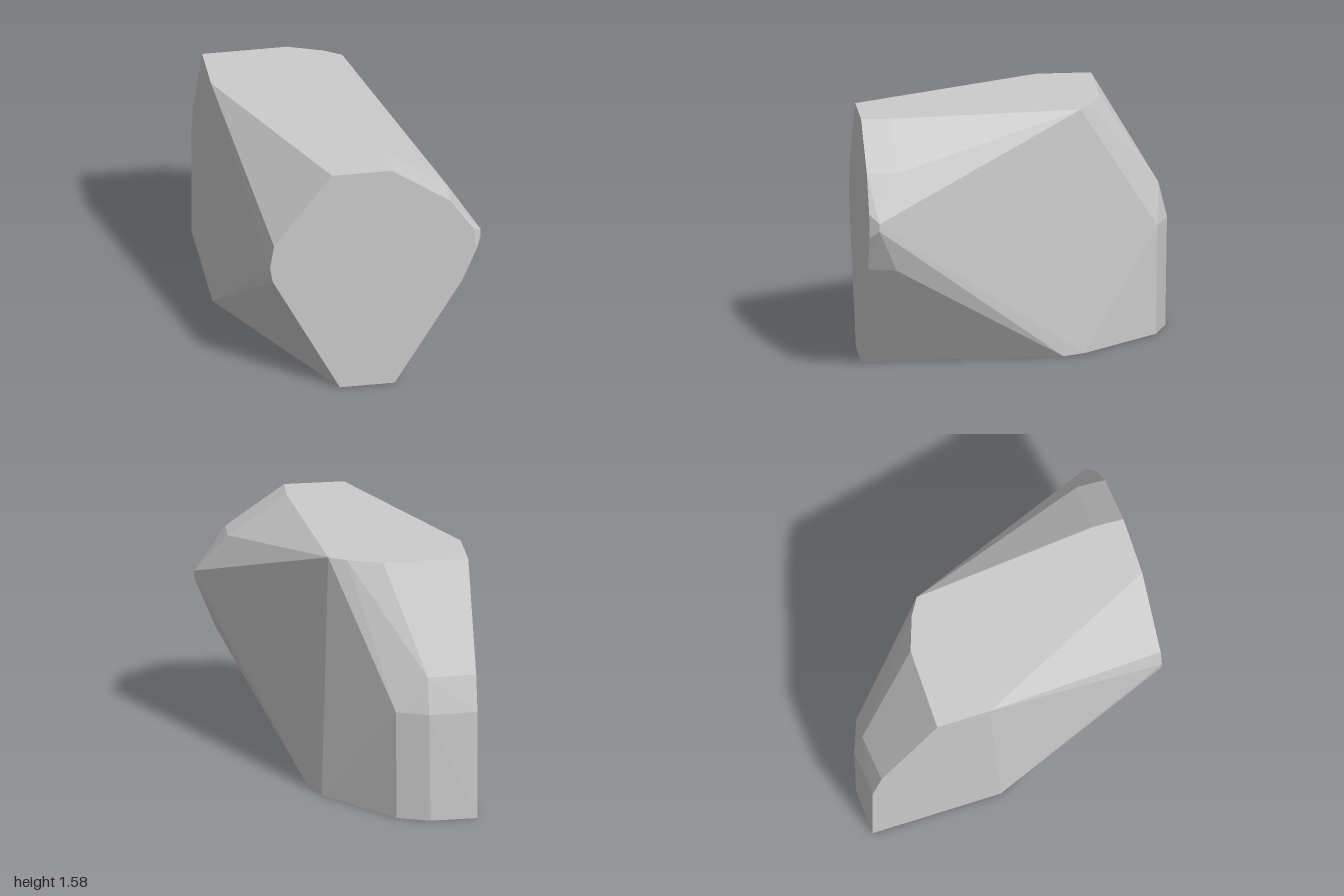
import * as THREE from 'three';
import { ConvexGeometry } from 'three/addons/geometries/ConvexGeometry.js';

export function createModel() {
  const group = new THREE.Group();
  group.name = 'rock';
  const stone = new THREE.MeshStandardMaterial({ color: 0xcccccc });
  stone.name = 'grey stone';

  const corners = [];
  const add = (list) => list.forEach((p) => corners.push(new THREE.Vector3(...p)));
  // flat horizontal outline of [x, z] pairs at one height
  const level = (y, list) => add(list.map(([x, z]) => [x, y, z]));
  // flat upright outline of [x, y] pairs at one depth
  const upright = (z, list) => add(list.map(([x, y]) => [x, y, z]));

  // base
  level(0, [[0.21, 1], [-0.14, 1], [-0.77, -0.13], [-0.77, -0.98],
    [-0.47, -0.99], [-0.265, -0.91], [0.144, -0.42], [0.206, -0.28]]);
  // top
  level(1.58, [[-0.19, 1], [0.19, 1], [0.2, 0.8], [0.1, -0.4],
    [-0.01, -0.47], [-0.23, -0.55], [-0.77, -0.55], [-0.77, -0.2]]);
  // front cut
  upright(1, [[0.565, 1.32], [0.71, 1.1], [0.735, 0.95], [0.64, 0.72],
    [0.575, 0.61], [-0.57, 0.83], [-0.585, 0.93], [-0.56, 1.09]]);
  // side ridge behind the front cut
  upright(0.82, [[0.575, 1.32], [0.65, 0.71]]);
  upright(0.94, [[0.768, 1.0], [0.768, 1.05]]);
  // rounded back shoulder
  level(0.71, [[-0.77, -0.98], [-0.46, -1], [-0.26, -0.92], [-0.163, -0.79]]);
  level(0.94, [[-0.77, -0.92], [-0.46, -0.945], [-0.31, -0.86]]);

  const body = new THREE.Mesh(new ConvexGeometry(corners), stone);
  body.name = 'rockBody';
  group.add(body);
  return group;
}
